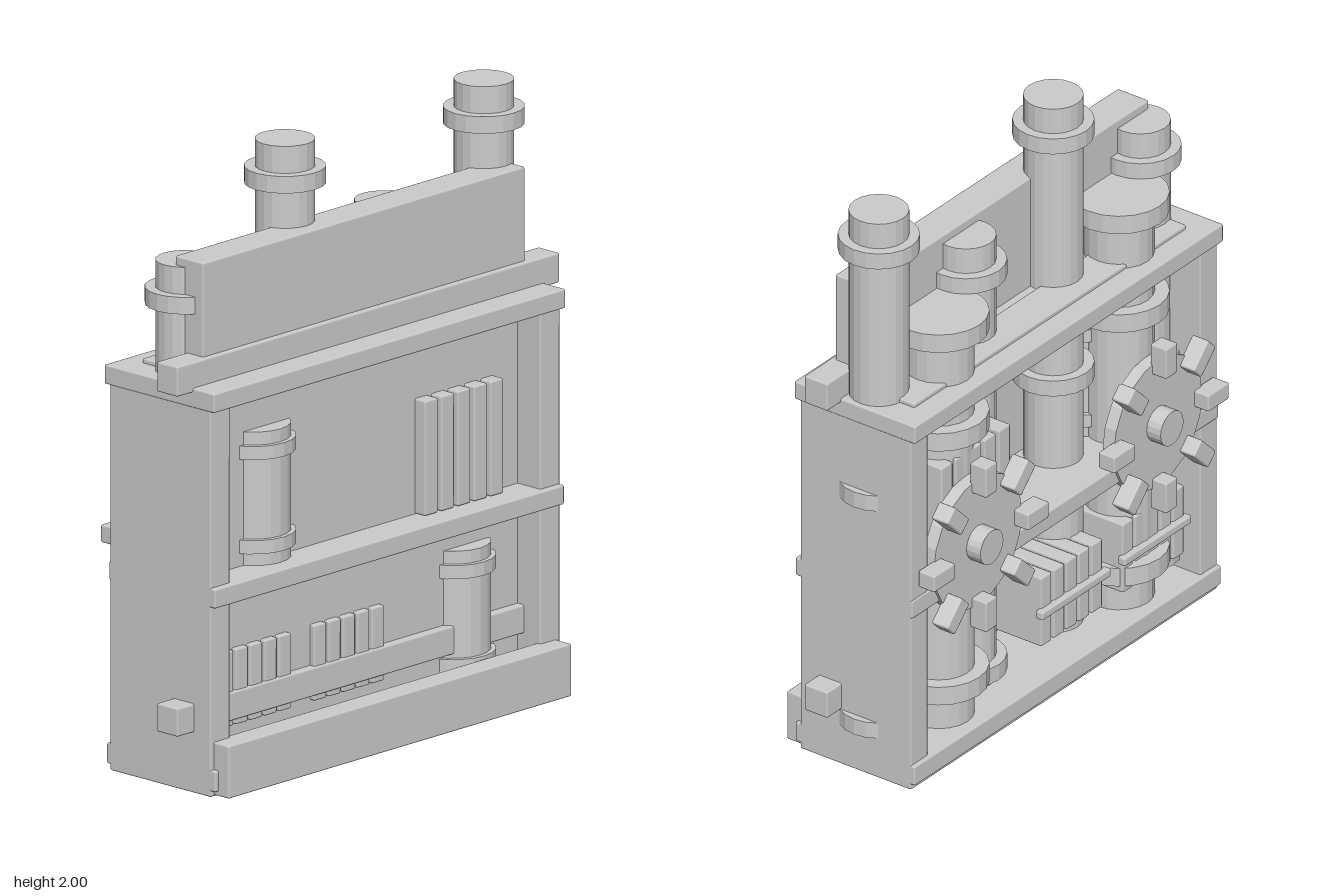
import * as THREE from 'three';
import { RoundedBoxGeometry } from 'three/addons/geometries/RoundedBoxGeometry.js';

const grey = new THREE.MeshStandardMaterial({ color: 0xcccccc });
grey.name = 'plain grey';

export function createModel() {
  const model = new THREE.Group();
  model.name = 'pipeCabinet';

  const add = (name, geometry, parent = model) => {
    const mesh = new THREE.Mesh(geometry, grey);
    mesh.name = name;
    parent.add(mesh);
    return mesh;
  };

  // Softly bevelled box given by its extents
  const box = (name, x0, x1, y0, y1, z0, z1, parent) => {
    const mesh = add(name, new RoundedBoxGeometry(x1 - x0, y1 - y0, z1 - z0, 1, 0.007), parent);
    mesh.position.set((x0 + x1) / 2, (y0 + y1) / 2, (z0 + z1) / 2);
    return mesh;
  };

  // Faceted upright cylinder between two heights
  const drum = (name, x, z, r, y0, y1, parent) => {
    const g = new THREE.CylinderGeometry(r, r, y1 - y0, 20).toNonIndexed();
    g.computeVertexNormals();
    const mesh = add(name, g, parent);
    mesh.position.set(x, (y0 + y1) / 2, z);
    return mesh;
  };

  // Column with wider collars at the listed heights
  const column = (name, x, z, r, y0, y1, collarR, collarH, collars) => {
    const group = new THREE.Group();
    group.name = name;
    model.add(group);
    drum(name + 'Body', x, z, r, y0, y1, group);
    for (const y of collars) {
      drum(name + 'Collar', x, z, collarR, y - collarH / 2, y + collarH / 2, group);
    }
  };

  // Cabinet frame
  box('leftWall', 0.71, 0.8, 0, 1.32, -0.22, 0.22);
  box('rightWall', -0.8, -0.71, 0, 1.32, -0.22, 0.22);
  box('bottomSlab', -0.8, 0.8, 0.02, 0.09, -0.235, 0.24);
  box('baseFloor', -0.79, 0.79, 0, 0.05, -0.22, 0.22);
  box('middleShelf', -0.8, 0.8, 0.625, 0.69, -0.225, 0.24);
  box('topSlab', -0.805, 0.805, 1.27, 1.335, -0.24, 0.24);
  box('topLedge', -0.71, 0.71, 1.32, 1.35, -0.165, -0.03);
  box('frontPanel', -0.72, 0.72, 0.03, 1.3, 0.08, 0.12);
  box('basePlinth', -0.785, 0.785, 0.005, 0.18, 0.2, 0.285);

  // Backboard and crossbars
  box('backboard', -0.74, 0.735, 1.33, 1.73, 0.007, 0.13);
  box('upperCrossbar', -0.875, 0.875, 1.32, 1.42, 0.055, 0.147);
  box('lowerCrossbar', -0.875, 0.875, 0.2, 0.295, 0.055, 0.147);

  // Pipes running the full height
  for (const [x, top] of [[-0.67, 1.7], [-0.215, 2], [0.24, 1.7], [0.695, 2]]) {
    column('pipe', x, -0.013, 0.096, 0.05, top, 0.13, 0.056,
      [0.086 * top, 0.5 * top, top - 0.117]);
  }

  // Wide capped columns behind the pipes
  for (const x of [-0.47, 0.47]) {
    column('wideColumn', x, -0.08, 0.113, 0.05, 1.53, 0.16, 0.065, [0.235, 1.16, 1.52]);
  }

  // Vessels bulging through the front panel
  column('upperVessel', -0.44, 0.06, 0.122, 0.69, 1.13, 0.138, 0.045, [0.755, 1.065]);
  column('lowerVessel', 0.475, 0.06, 0.122, 0.09, 0.54, 0.138, 0.045, [0.165, 0.475]);

  // Rows of upright plates
  const plates = (x0, pitch, width, y0, y1, z1) => {
    for (let i = 0; i < 5; i++) {
      box('uprightPlate', x0 + i * pitch, x0 + i * pitch + width, y0, y1, -0.19, z1);
    }
  };
  plates(0.24, 0.075, 0.06, 0.69, 1.07, 0.165);
  plates(-0.665, 0.066, 0.056, 0.18, 0.43, 0.14);
  plates(-0.24, 0.066, 0.056, 0.18, 0.43, 0.14);
  box('plateRail', -0.68, -0.33, 0.29, 0.32, -0.21, -0.18);
  box('plateRail', -0.26, 0.1, 0.29, 0.32, -0.21, -0.18);

  // Toothed wheels on the back
  for (const x of [-0.47, 0.47]) {
    const wheel = new THREE.Group();
    wheel.name = 'toothedWheel';
    wheel.position.set(x, 0.76, 0);
    model.add(wheel);
    drum('wheelDisc', 0, 0, 0.23, -0.0225, 0.0225, wheel).rotation.x = Math.PI / 2;
    wheel.children[0].position.z = -0.2125;
    drum('wheelHub', 0, 0, 0.06, -0.045, 0.045, wheel).rotation.x = Math.PI / 2;
    wheel.children[1].position.z = -0.245;
    for (let i = 0; i < 8; i++) {
      const arm = new THREE.Group();
      arm.name = 'wheelTooth';
      arm.rotation.z = i * Math.PI / 4;
      wheel.add(arm);
      box('tooth', 0.19, 0.3, -0.03, 0.03, -0.29, -0.225, arm);
    }
  }

  return model;
}
